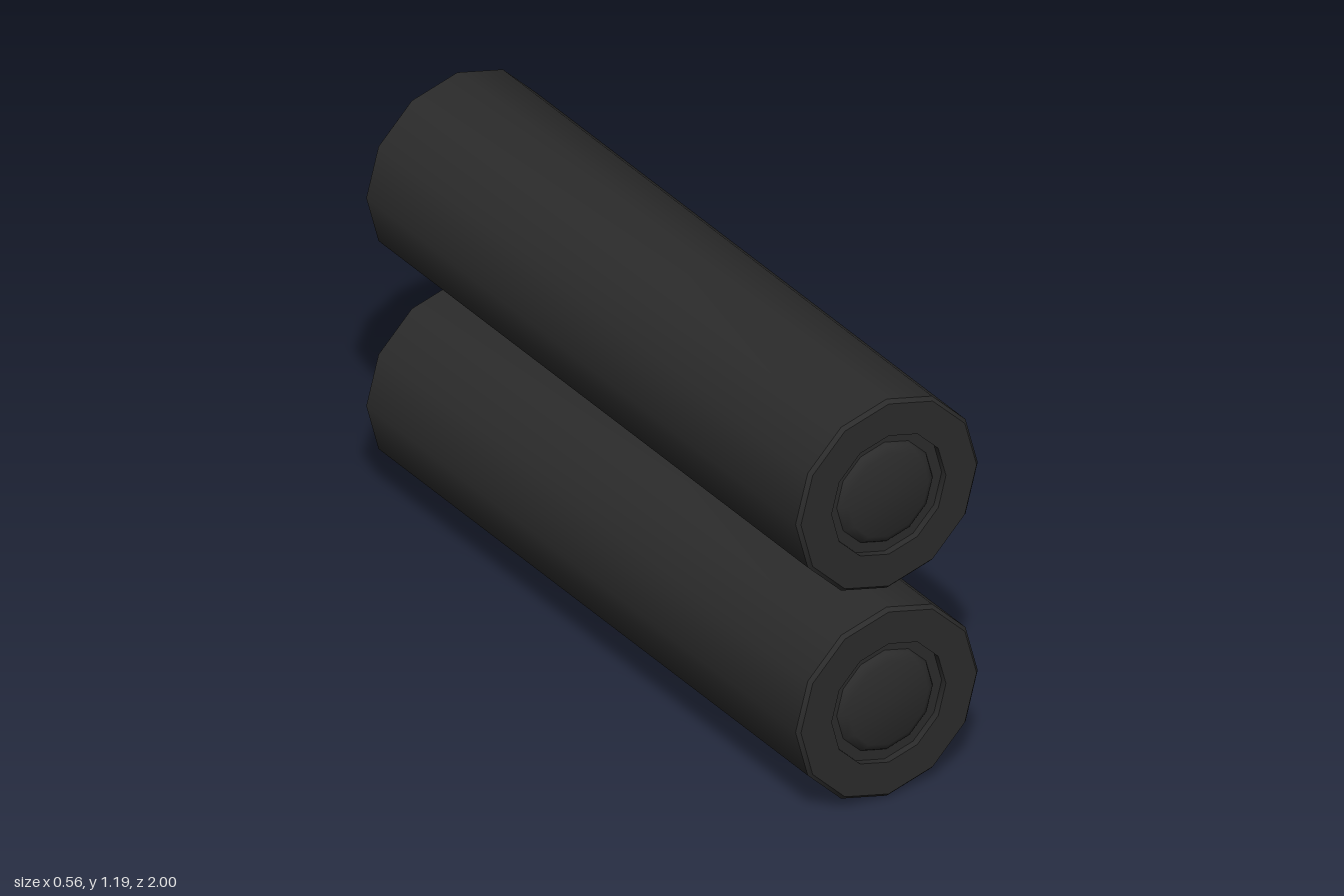
import * as THREE from 'three';
import { toCreasedNormals } from 'three/addons/utils/BufferGeometryUtils.js';

const SIDES = 12;
const material = new THREE.MeshStandardMaterial({ color: 0x2b2b2b });

// Revolve a [radius, z] profile around the z axis, listed from back to front
function turned(name, profile) {
  const points = profile.map(([r, z]) => new THREE.Vector2(r, z));
  const lathe = new THREE.LatheGeometry(points, SIDES).rotateX(Math.PI / 2);
  const mesh = new THREE.Mesh(toCreasedNormals(lathe, 0.65), material);
  mesh.name = name;
  return mesh;
}

function createCell() {
  const cell = new THREE.Group();
  cell.add(
    // Casing with chamfered rims and a shallow recess at the front
    turned('casing', [
      [0.226, -0.99], [0.226, -1], [0.272, -1], [0.282, -0.99],
      [0.282, 0.99], [0.272, 1], [0.177, 1], [0.177, 0.98], [0.148, 0.98],
    ]),
    // Flat contact sunk slightly into the back
    turned('backContact', [[0, -0.99], [0.226, -0.99]]),
    // Tapered contact button rising from the front recess
    turned('frontContact', [[0.148, 0.98], [0.142, 0.99], [0.123, 1], [0, 1]]),
  );
  return cell;
}

export function createModel() {
  const model = new THREE.Group();
  model.name = 'batteryPair';
  // Two identical cells stacked with a small gap
  [['lowerBattery', 0.283], ['upperBattery', 0.905]].forEach(([name, y]) => {
    const cell = createCell();
    cell.name = name;
    cell.position.y = y;
    model.add(cell);
  });
  return model;
}
